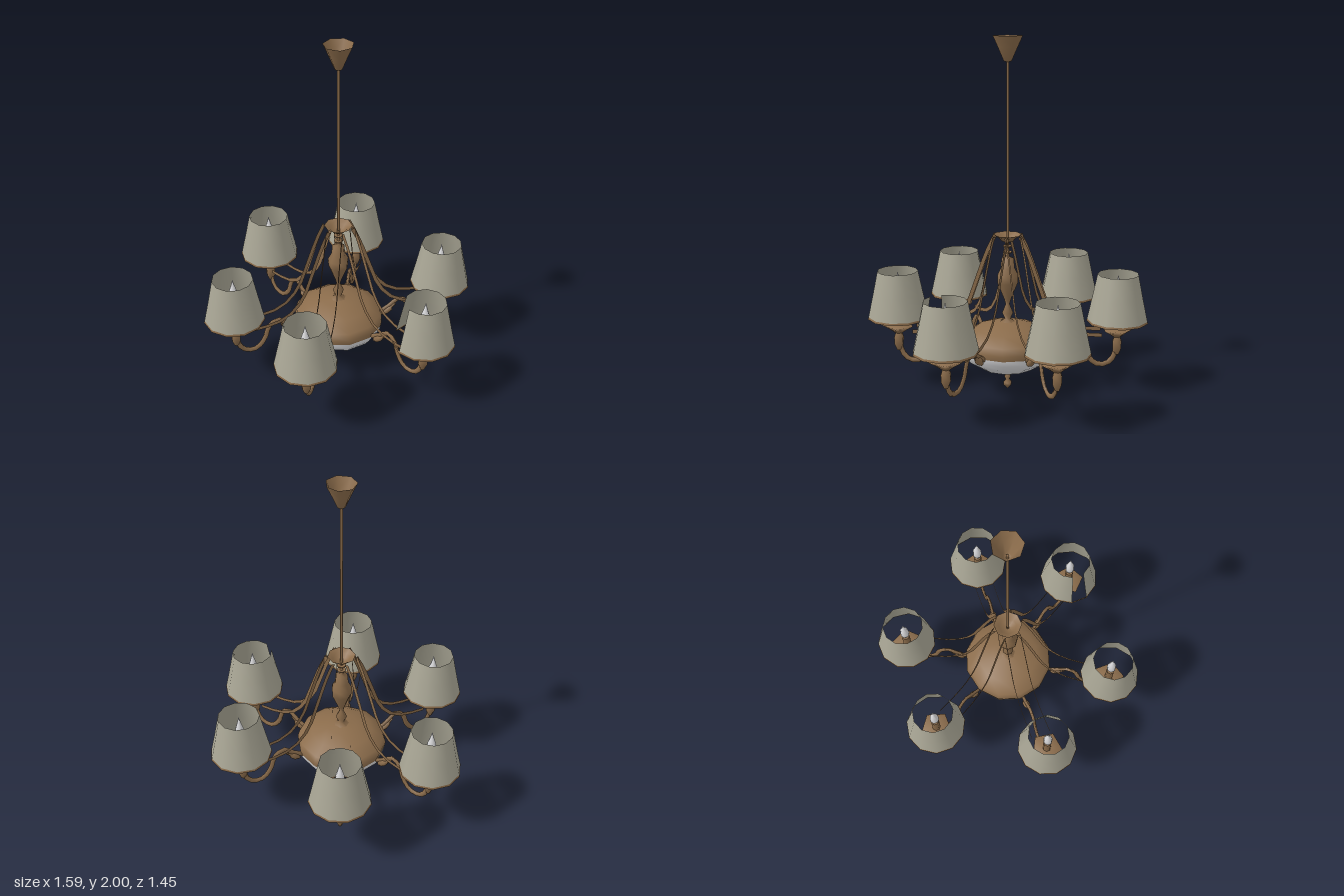
import * as THREE from 'three';

const mat = (name, color, side = THREE.FrontSide) => {
  const m = new THREE.MeshStandardMaterial({ color, side });
  m.name = name;
  return m;
};

export function createModel() {
  const bronze = mat('bronze', 0x8b6c4b, THREE.DoubleSide);
  const fabric = mat('shade fabric', 0xa9a695, THREE.DoubleSide);
  const glass = mat('white glass', 0xdcdcde, THREE.DoubleSide);

  const model = new THREE.Group();
  model.name = 'chandelier';

  const add = (parent, name, geometry, material) => {
    const mesh = new THREE.Mesh(geometry, material);
    mesh.name = name;
    parent.add(mesh);
    return mesh;
  };
  // Turned part; points run from bottom to top as [radius, height]
  const lathe = (points, sides, start = 0, length = Math.PI * 2) =>
    new THREE.LatheGeometry(points.map(p => new THREE.Vector2(...p)), sides, start, length);
  const path = points => new THREE.CatmullRomCurve3(points.map(p => new THREE.Vector3(p[0], p[1], 0)));

  // Central stem, everything on one axis
  const core = new THREE.Group();
  core.name = 'core';
  core.position.z = -0.015;
  model.add(core);

  add(core, 'ceilingCanopy', lathe([[0.008, 1.86], [0.022, 1.865], [0.055, 1.94], [0.083, 2]], 7), bronze);
  add(core, 'rod', new THREE.CylinderGeometry(0.008, 0.008, 1, 6).translate(0, 1.38, 0), bronze);
  add(core, 'hub', lathe([[0.008, 0.865], [0.035, 0.875], [0.05, 0.893], [0.08, 0.912]], 8), bronze);
  add(core, 'column', lathe([
    [0.05, 0.405], [0.016, 0.425], [0.032, 0.46], [0.011, 0.51], [0.02, 0.54],
    [0.058, 0.635], [0.06, 0.68], [0.04, 0.72], [0.035, 0.775], [0.01, 0.785], [0.008, 0.88],
  ], 7), bronze);
  for (const y of [0.81, 0.845])
    add(core, 'columnRing', new THREE.CylinderGeometry(0.026, 0.026, 0.006, 8).translate(0, y, 0), bronze);

  // Bowl: bronze cover over a white glass dish
  add(core, 'bowlCover', lathe([
    [0.258, 0.255], [0.263, 0.285], [0.25, 0.325], [0.18, 0.372], [0.09, 0.402], [0, 0.415],
  ], 12), bronze);
  add(core, 'bowlGlass', lathe([
    [0, 0.1], [0.08, 0.118], [0.16, 0.148], [0.225, 0.19], [0.252, 0.225], [0.258, 0.255],
  ], 12), glass);
  add(core, 'finial', lathe([
    [0, 0.005], [0.024, 0.03], [0.026, 0.045], [0.01, 0.062], [0.02, 0.08], [0.006, 0.105],
  ], 6), bronze);

  // Flat vertical strap following a path, with its width across the path
  const strap = (curve, width, z0, z1) => {
    const n = 10;
    const geo = new THREE.PlaneGeometry(1, 1, n, 1);
    const pos = geo.attributes.position;
    for (let i = 0; i < pos.count; i++) {
      const t = pos.getX(i) + 0.5;
      const p = curve.getPointAt(t), d = curve.getTangentAt(t), s = pos.getY(i) * width;
      pos.setXYZ(i, p.x - d.y * s, p.y + d.x * s, z0 + (z1 - z0) * t);
    }
    geo.computeVertexNormals();
    return geo;
  };

  const strapPath = path([[0.07, 0.905], [0.11, 0.82], [0.17, 0.65], [0.23, 0.49], [0.31, 0.395], [0.4, 0.355], [0.53, 0.345]]);
  const armPath = path([
    [0.25, 0.255], [0.31, 0.29], [0.37, 0.335], [0.42, 0.3], [0.45, 0.215],
    [0.5, 0.16], [0.56, 0.16], [0.6, 0.2], [0.615, 0.26], [0.62, 0.33],
  ]);

  // Lamp positions [x, z]; one shade has a missing panel
  const lamps = [
    [-0.36, -0.52], [0.31, -0.555], [0.62, -0.07], [0.31, 0.53], [-0.27, 0.545], [-0.62, -0.025],
  ];
  lamps.forEach(([x, z], index) => {
    const angle = Math.atan2(z - core.position.z, x);
    const reach = Math.hypot(x, z - core.position.z);
    const open = index === 2;

    // Branch, running outwards along its own x axis
    const branch = new THREE.Group();
    branch.name = 'branch';
    branch.rotation.y = -angle;
    branch.scale.x = reach / 0.62;
    core.add(branch);
    for (const side of [-1, 1])
      add(branch, 'strap', strap(strapPath, 0.022, side * 0.045, side * 0.058), bronze);
    const arm = add(branch, 'arm', new THREE.TubeGeometry(armPath, 18, 0.016, 5), bronze);
    arm.scale.z = 0.6;
    const knob = add(branch, 'knob', lathe([
      [0, -0.055], [0.012, -0.04], [0.02, -0.02], [0.02, 0.015], [0.01, 0.025], [0.01, 0.055],
    ], 6), bronze);
    knob.position.set(0.305, 0.265, 0);
    knob.rotation.z = Math.PI / 2 + 0.7 - Math.PI;

    // Lamp: saucer, candle, bulb and shade
    const lamp = new THREE.Group();
    lamp.name = 'lamp';
    lamp.position.set(x, 0, z);
    model.add(lamp);
    add(lamp, 'socketBead', lathe([[0.012, 0.215], [0.027, 0.25], [0.029, 0.29], [0.018, 0.325]], 6), bronze);
    const saucer = add(lamp, 'saucer', lathe([[0.018, 0.315], [0.045, 0.335], [0.093, 0.365], [0, 0.362]], 5), bronze);
    saucer.rotation.y = index * 1.1;
    add(lamp, 'candle', new THREE.CylinderGeometry(0.024, 0.024, 0.14, 7).translate(0, 0.43, 0), bronze);
    add(lamp, 'bulb', lathe([[0.012, 0.5], [0.027, 0.54], [0.025, 0.59], [0.01, 0.64], [0, 0.68]], 7), glass);
    const start = open ? -0.165 : index * 0.3;
    const sweep = Math.PI * 2 - (open ? 0.57 : 0);
    add(lamp, 'shade', lathe([[0.172, 0.423], [0.143, 0.555], [0.116, 0.685]], open ? 10 : 11, start, sweep), fabric);
    add(lamp, 'shadeTrim', lathe([[0.175, 0.411], [0.172, 0.423]], 11, start), bronze);
  });

  return model;
}
